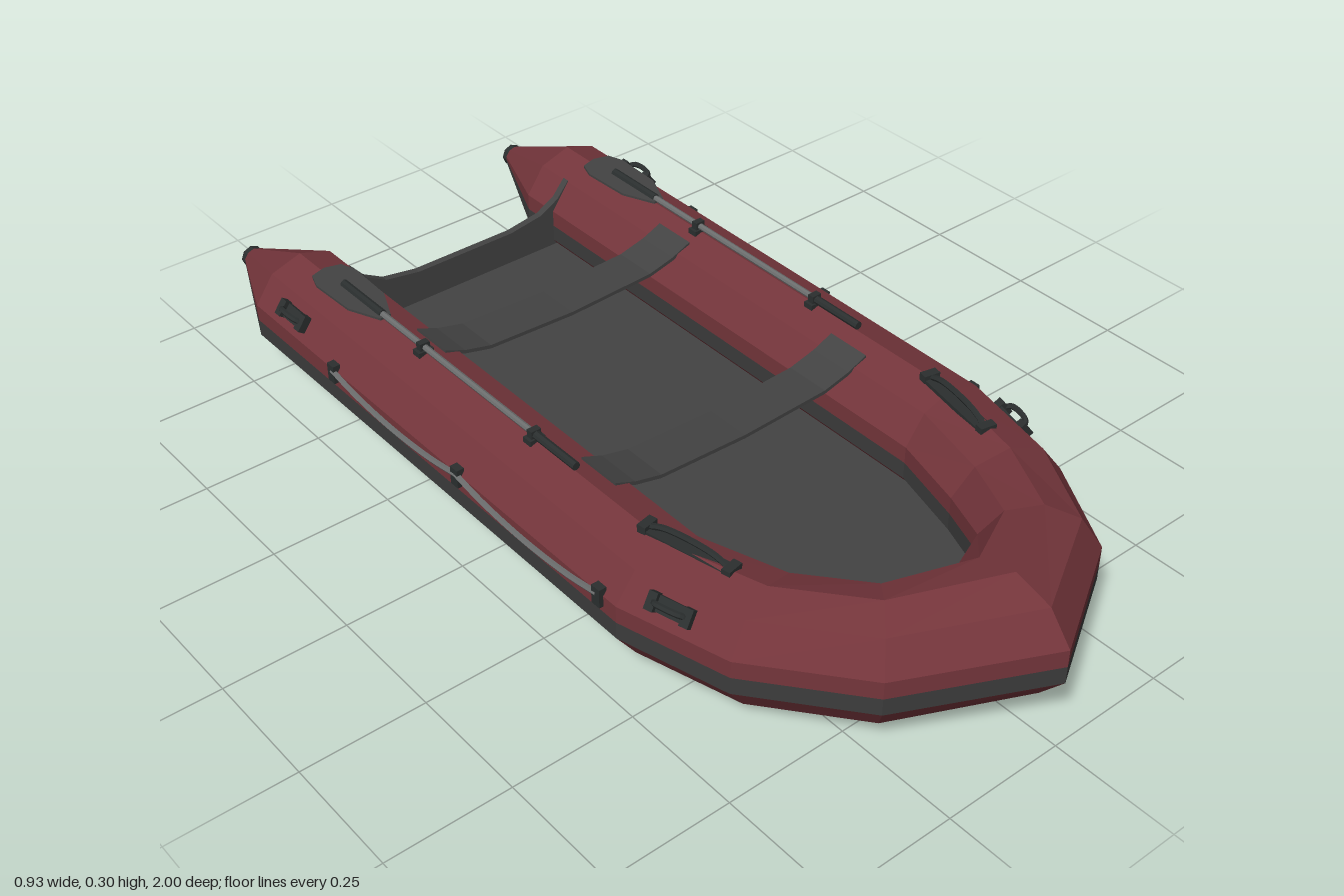
import * as THREE from 'three';

const mat = (name, color, extra = {}) => {
  const m = new THREE.MeshStandardMaterial({ color, flatShading: true, ...extra });
  m.name = name;
  return m;
};

export function createModel() {
  const red = mat('red rubber', 0x74353b);
  const strip = mat('rub strip grey', 0x3c3c3c);
  const grey = mat('floor grey', 0x434343);
  const dark = mat('dark fittings', 0x2b2f2f);
  const rope = mat('rope grey', 0x6c6e6e);

  const boat = new THREE.Group();
  boat.name = 'inflatableBoat';
  const add = (parent, name, geo, material, x = 0, y = 0, z = 0) => {
    const m = new THREE.Mesh(geo, material);
    m.name = name;
    m.position.set(x, y, z);
    parent.add(m);
    return m;
  };
  const box = (w, h, d) => new THREE.BoxGeometry(w, h, d);
  const V = (x, y, z) => new THREE.Vector3(x, y, z);

  // Ten-sided tube section, with an extra point halfway up each side face
  const R = 0.117, c18 = Math.cos(Math.PI / 10);
  const section = [90, 54, 18, 0, -18, -54, -90, -126, -162, 180, 162, 126].map((deg) => {
    const a = deg * Math.PI / 180;
    return deg === 0 || deg === 180 ? [Math.cos(a) * c18, 0] : [Math.cos(a), Math.sin(a)];
  });

  // Stations along the left half: centre x, y, z, outward x, z, radius
  const half = [
    [0.343, 0.12, -0.985, 1, 0, 0.025],
    [0.343, 0.117, -0.78, 1, 0, R],
    [0.343, 0.117, 0.40, 1, 0, R],
    [0.29, 0.125, 0.597, 0.97, 0.30, R],
    [0.19, 0.153, 0.765, 0.63, 0.72, R],
    [0, 0.18, 0.872, 0, 1.15, R],
  ];
  const mirrored = half.slice(0, -1).reverse().map(([x, y, z, nx, nz, r]) => [-x, y, z, -nx, nz, r]);
  const rings = [...half, ...mirrored].map(([x, y, z, nx, nz, r]) =>
    section.map(([u, v]) => V(x + nx * u * r, y + v * r, z + nz * u * r)));

  // Skin a chosen set of section faces along all stations
  const skin = (faces) => {
    const pts = [];
    for (let i = 0; i < rings.length - 1; i++) {
      for (const k of faces) {
        const n = (k + 1) % section.length;
        const a = rings[i][k], b = rings[i][n], c = rings[i + 1][n], d = rings[i + 1][k];
        pts.push(a, d, c, a, c, b);
      }
    }
    const g = new THREE.BufferGeometry().setFromPoints(pts);
    g.computeVertexNormals();
    return g;
  };
  add(boat, 'hullTube', skin([0, 1, 2, 4, 5, 6, 7, 9, 10, 11]), red);
  add(boat, 'rubStrip', skin([3, 8]), strip);

  // Floor, pointed at the bow
  const right = [[0.265, -0.7], [0.265, 0.42], [0.22, 0.6], [0.14, 0.73], [0, 0.81]];
  const outline = [...right, ...right.slice(0, -1).reverse().map(([x, z]) => [-x, z])];
  const floorShape = new THREE.Shape(outline.map(([x, z]) => new THREE.Vector2(x, z)));
  const floor = add(boat, 'floor',
    new THREE.ExtrudeGeometry(floorShape, { depth: 0.025, bevelEnabled: false }), grey, 0, 0.07, 0);
  floor.rotation.x = Math.PI / 2;

  // Transom with a dipped top edge
  const transomShape = new THREE.Shape([
    [-0.265, 0.045], [0.265, 0.045], [0.275, 0.215], [0.245, 0.18], [0.2, 0.155], [0.12, 0.142],
    [-0.12, 0.142], [-0.2, 0.155], [-0.245, 0.18], [-0.275, 0.215],
  ].map(([x, y]) => new THREE.Vector2(x, y)));
  add(boat, 'transom',
    new THREE.ExtrudeGeometry(transomShape, { depth: 0.016, bevelEnabled: false }), grey, 0, 0, -0.705);

  // Sagging bench seats
  const sag = [[-0.305, 0.227], [-0.26, 0.208], [-0.2, 0.193], [0, 0.185], [0.2, 0.193], [0.26, 0.208], [0.305, 0.227]];
  const seatShape = new THREE.Shape([
    ...sag.map(([x, y]) => new THREE.Vector2(x, y - 0.008)),
    ...sag.slice().reverse().map(([x, y]) => new THREE.Vector2(x, y)),
  ]);
  for (const z of [-0.41, 0.115]) {
    add(boat, 'seat', new THREE.ExtrudeGeometry(seatShape, { depth: 0.097, bevelEnabled: false }), grey, 0, 0, z);
  }

  const rod = (r, len) => new THREE.CylinderGeometry(r, r, len, 8).rotateX(Math.PI / 2);
  const tube = (pts, r) => new THREE.TubeGeometry(new THREE.CatmullRomCurve3(pts), 16, r, 6);

  // Oar blade outline, broad at the stern end
  const bladeShape = new THREE.Shape([
    [-0.012, -0.46], [-0.042, -0.53], [-0.046, -0.64], [-0.034, -0.675], [0, -0.685],
    [0.034, -0.675], [0.046, -0.64], [0.042, -0.53], [0.012, -0.46],
  ].map(([x, z]) => new THREE.Vector2(x, z)));

  // Grab handle: pad with an arched grip, lying along z
  const grabHandle = (name, len) => {
    const g = new THREE.Group();
    g.name = name;
    add(g, 'handlePad', box(0.03, 0.008, len), dark);
    for (const e of [-1, 1]) add(g, 'handleMount', box(0.034, 0.016, 0.018), dark, 0, 0.005, e * (len / 2 - 0.009));
    add(g, 'handleGrip', tube([V(0, 0.004, -len / 2 + 0.01), V(0, 0.018, -len / 4),
      V(0, 0.018, len / 4), V(0, 0.004, len / 2 - 0.01)], 0.006), dark);
    return g;
  };

  for (const s of [1, -1]) {
    const side = new THREE.Group();
    side.name = s > 0 ? 'leftFittings' : 'rightFittings';
    boat.add(side);
    const x = s * 0.343;

    // Cone end cap
    add(side, 'endCap', rod(0.024, 0.02), dark, x, 0.12, -0.99);

    // Oar and its clips
    add(side, 'oarBlade', new THREE.ExtrudeGeometry(bladeShape, { depth: 0.005, bevelEnabled: false })
      .rotateX(Math.PI / 2), grey, x, 0.246, 0);
    add(side, 'oarNeck', rod(0.009, 0.14), dark, x, 0.246, -0.54);
    add(side, 'oarShaft', rod(0.0065, 0.5), rope, x, 0.246, -0.22);
    add(side, 'oarGrip', rod(0.0085, 0.12), dark, x, 0.246, 0.09);
    for (const z of [-0.33, 0.025]) {
      add(side, 'oarClipBase', box(0.034, 0.012, 0.022), dark, x, 0.234, z);
      add(side, 'oarClip', box(0.022, 0.018, 0.014), dark, x, 0.247, z);
    }

    // Carrying handle on top near the bow
    const carry = grabHandle('carryHandle', 0.2);
    carry.position.set(s * 0.323, 0.232, 0.435);
    carry.rotation.y = -s * 0.2;
    side.add(carry);

    // Small handles on the upper outer face
    for (const [hx, hy, hz, yaw] of [[0.437, 0.185, -0.655, 0], [0.41, 0.188, 0.495, -0.26]]) {
      const h = grabHandle('sideHandle', 0.09);
      h.rotation.order = 'YXZ';
      h.rotation.set(0, s * yaw, -s * 0.94);
      h.position.set(s * hx, hy, hz);
      side.add(h);
    }

    // Grab line hung in two sags between three clips
    const clips = [0.355, -0.065, -0.485];
    for (const z of clips) {
      add(side, 'ropeClip', box(0.016, 0.04, 0.022), dark, s * 0.455, 0.15, z);
    }
    for (let i = 0; i < 2; i++) {
      const a = clips[i], b = clips[i + 1], at = (t, y) => V(s * 0.459, y, a + (b - a) * t);
      add(side, 'grabLine', tube([at(0, 0.155), at(0.2, 0.141), at(0.5, 0.134), at(0.8, 0.141), at(1, 0.155)], 0.006), rope);
    }
  }
  return boat;
}
